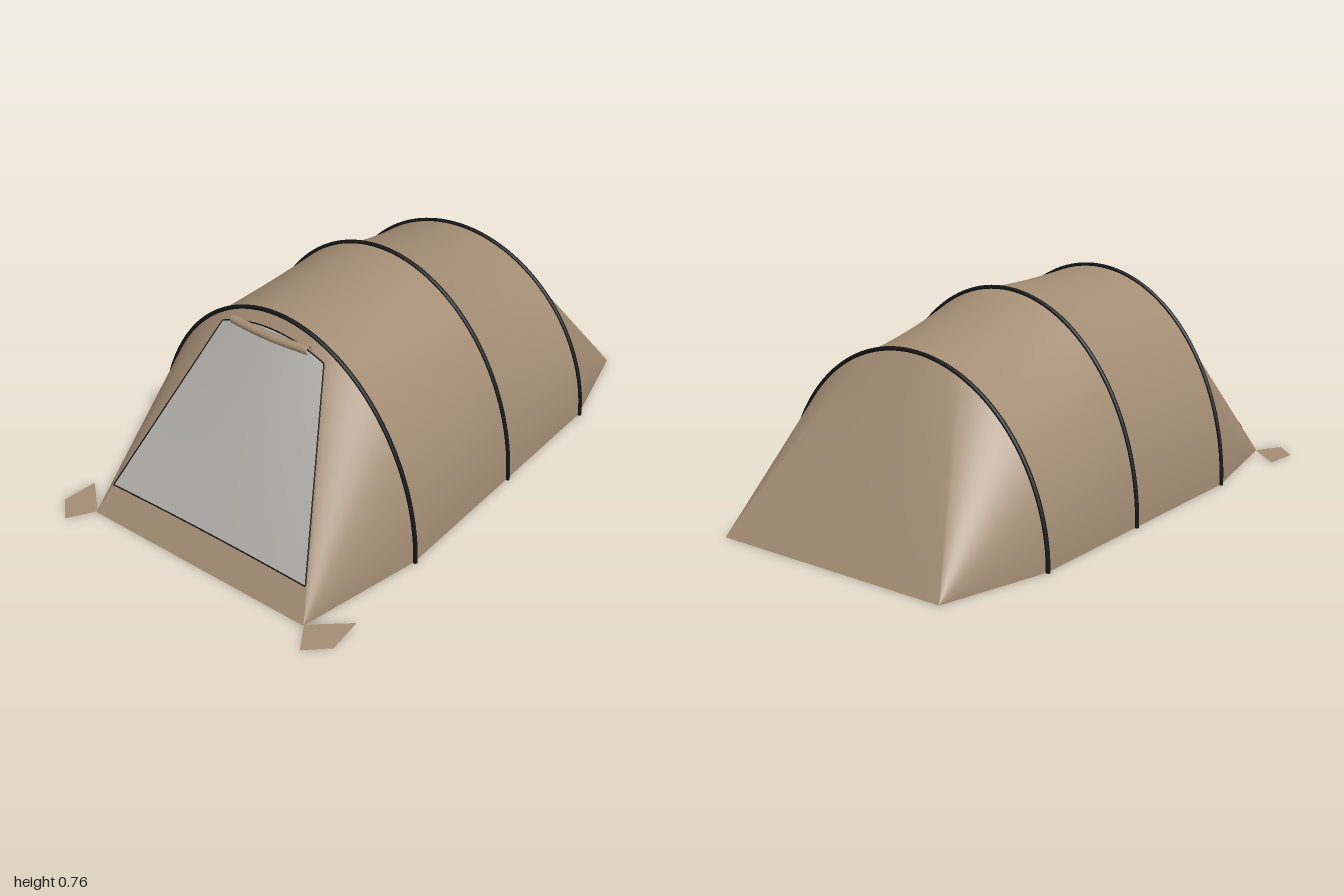
import * as THREE from 'three';

const mat = (name, color, double) => {
  const m = new THREE.MeshStandardMaterial({ color });
  m.name = name;
  if (double) m.side = THREE.DoubleSide;
  return m;
};

// Arches: position along the tent and fabric height
const ARCHES = [{ x: -0.455, h: 0.745 }, { x: 0.105, h: 0.745 }, { x: 0.605, h: 0.62 }];
const HALF = 0.56;       // half width at the arches
const CORNER = 0.46;     // half width at both ground ends
const SEAM = THREE.MathUtils.degToRad(69); // where the flat end panels begin

// Smooth grid surface; f(u, v) gives a point, u and v from 0 to 1
function surface(f, nu, nv) {
  const pos = [], idx = [];
  for (let j = 0; j <= nv; j++)
    for (let i = 0; i <= nu; i++) pos.push(...f(i / nu, j / nv).toArray());
  for (let j = 0; j < nv; j++)
    for (let i = 0; i < nu; i++) {
      const a = j * (nu + 1) + i, b = a + nu + 1;
      idx.push(a, b, a + 1, b, b + 1, a + 1);
    }
  const g = new THREE.BufferGeometry();
  g.setAttribute('position', new THREE.Float32BufferAttribute(pos, 3));
  g.setIndex(idx);
  g.computeVertexNormals();
  return g;
}

// Point on a half-elliptical arch
const archPoint = (x, h, w, t) => new THREE.Vector3(x, h * Math.sin(t), w * Math.cos(t));

// Point on a sloping end: sides fan to a corner, the middle runs to the ground line
function endPoint(arch, groundX, t, v) {
  const k = THREE.MathUtils.clamp((t - SEAM) / (Math.PI - 2 * SEAM), 0, 1);
  const ground = new THREE.Vector3(groundX, 0, CORNER * (1 - 2 * k));
  return archPoint(arch.x, arch.h, HALF, t).lerp(ground, v);
}

// Flat outline of [x, z] points lying on the ground
function groundSheet(points, y) {
  const shape = new THREE.Shape(points.map(([x, z]) => new THREE.Vector2(x, -z)));
  return new THREE.ShapeGeometry(shape).rotateX(-Math.PI / 2).translate(0, y, 0);
}

export function createModel() {
  const group = new THREE.Group();
  const fabric = mat('tan fabric', 0xa48d74, true);
  const mesh = mat('pale window', 0xb0afaa, true);
  const black = mat('black trim', 0x141617);
  const floor = mat('dark groundsheet', 0x2f332f, true);
  const add = (name, geo, m) => {
    const o = new THREE.Mesh(geo, m);
    o.name = name;
    group.add(o);
    return o;
  };

  // Tunnel sections, sagging a little between the arches
  [0.008, 0.018].forEach((sag, i) => {
    const a = ARCHES[i], b = ARCHES[i + 1];
    add('tunnelSection', surface((u, v) => {
      const h = THREE.MathUtils.lerp(a.h, b.h, v) - sag * 4 * v * (1 - v);
      return archPoint(THREE.MathUtils.lerp(a.x, b.x, v), h, HALF, u * Math.PI);
    }, 60, 12), fabric);
  });

  // Sloping ends
  const frontX = -0.91, rearX = 1;
  add('doorEnd', surface((u, v) => endPoint(ARCHES[0], frontX, u * Math.PI, 1 - v), 60, 8), fabric);
  add('closedEnd', surface((u, v) => endPoint(ARCHES[2], rearX, u * Math.PI, v), 60, 8), fabric);

  // Arch poles
  for (const { x, h } of ARCHES) {
    const pts = [];
    for (let i = 0; i <= 32; i++) pts.push(archPoint(x, h + 0.004, HALF + 0.004, (i / 32) * Math.PI));
    add('archPole', new THREE.TubeGeometry(new THREE.CatmullRomCurve3(pts), 80, 0.0075, 8), black);
  }

  // Door window lying just above the sloping panel, with a thin border
  const out = new THREE.Vector3(-0.853, 0.521, 0);
  const doorPoint = (u, v, lift) => endPoint(ARCHES[0], frontX,
    SEAM + u * (Math.PI - 2 * SEAM), THREE.MathUtils.lerp(0.86, 0.055, v)).addScaledVector(out, lift);
  add('doorWindow', surface((u, v) => doorPoint(u, v, 0.006), 12, 8), mesh);
  const corners = [[0, 0], [1, 0], [1, 1], [0, 1]];
  corners.forEach(([u, v], i) => {
    const [u2, v2] = corners[(i + 1) % 4];
    const pts = [];
    for (let s = 0; s <= 6; s++)
      pts.push(doorPoint(u + (u2 - u) * s / 6, v + (v2 - v) * s / 6, 0.006));
    add('windowBorder', new THREE.TubeGeometry(new THREE.CatmullRomCurve3(pts), 12, 0.0025, 5), black);
  });

  // Door cover rolled up at the top of the window
  const roll = new THREE.CatmullRomCurve3([
    new THREE.Vector3(-0.492, 0.69, 0.16), new THREE.Vector3(-0.5, 0.69, 0.08),
    new THREE.Vector3(-0.503, 0.69, 0),
    new THREE.Vector3(-0.5, 0.69, -0.08), new THREE.Vector3(-0.492, 0.69, -0.16)]);
  add('rolledDoor', new THREE.TubeGeometry(roll, 24, 0.015, 10), fabric);

  // Groundsheet: wide living area and a tapering sleeping area
  add('livingFloor', groundSheet([[-0.905, 0.455], [-0.455, 0.555], [0.105, 0.555],
    [0.105, -0.555], [-0.455, -0.555], [-0.905, -0.455]], 0.003), floor);
  add('sleepingFloor', groundSheet([[0.105, 0.55], [0.945, 0.39],
    [0.945, -0.39], [0.105, -0.55]], 0.003), floor);

  // Corner flaps flat on the ground
  for (const s of [1, -1])
    add('cornerFlap', groundSheet([[-1, 0.52 * s], [-0.93, 0.597 * s], [-0.8, 0.585 * s],
      [-0.905, 0.46 * s]], 0.001), fabric);

  return group;
}
